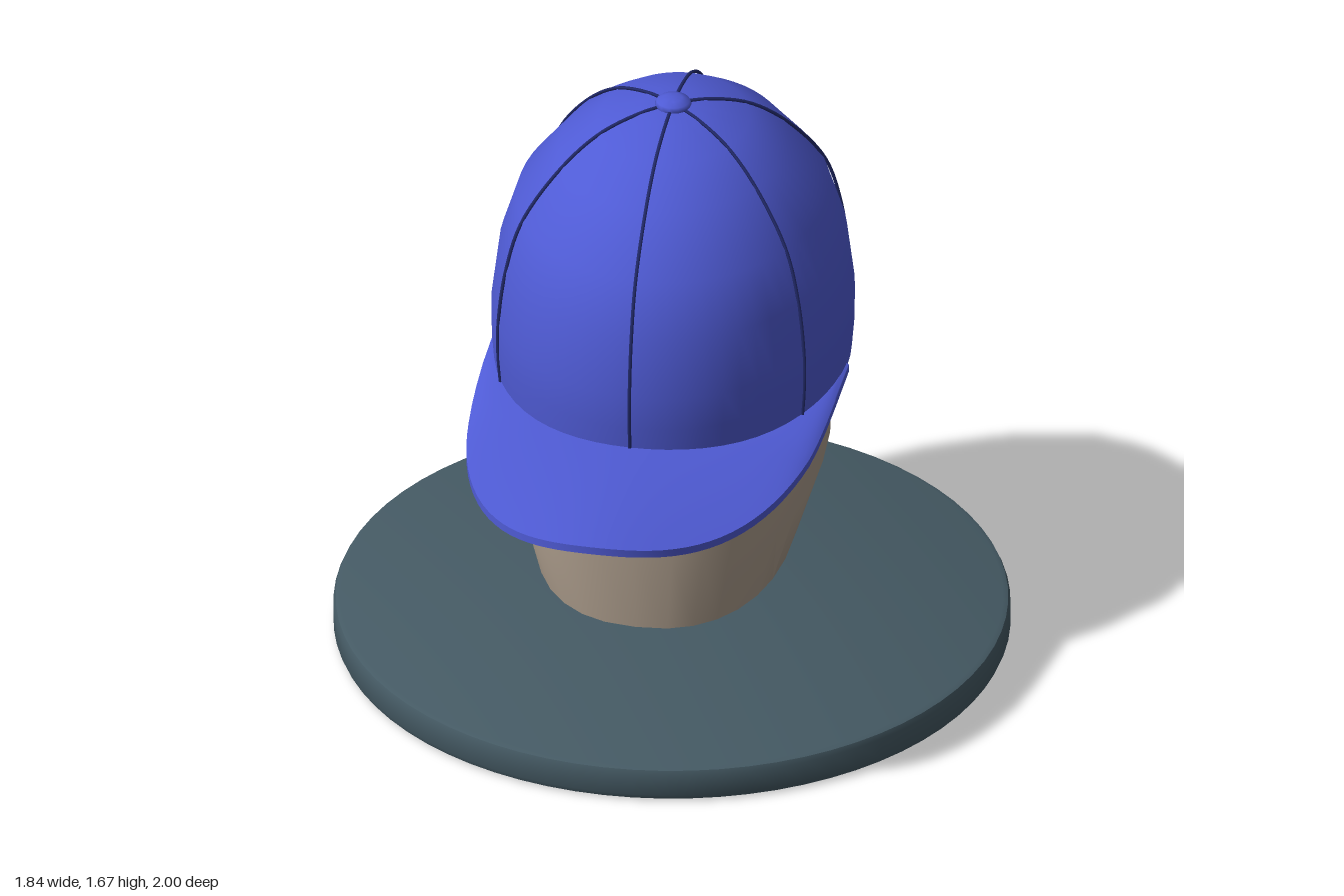
import * as THREE from 'three';
import { toCreasedNormals } from 'three/addons/utils/BufferGeometryUtils.js';

const mat = (name, color, side = THREE.FrontSide) => {
  const m = new THREE.MeshStandardMaterial({ color, side });
  m.name = name;
  return m;
};

// Surface through rows x cols points given by point(i, j) -> [x, y, z]
function gridSurface(rows, cols, point, crease) {
  const pos = [], idx = [];
  for (let i = 0; i <= rows; i++) for (let j = 0; j <= cols; j++) pos.push(...point(i, j));
  for (let i = 0; i < rows; i++) for (let j = 0; j < cols; j++) {
    const a = i * (cols + 1) + j, b = a + 1, c = a + cols + 1, d = c + 1;
    idx.push(a, b, c, b, d, c);
  }
  const g = new THREE.BufferGeometry();
  g.setAttribute('position', new THREE.Float32BufferAttribute(pos, 3));
  g.setIndex(idx);
  g.computeVertexNormals();
  return toCreasedNormals(g, crease);
}

const lathe = (pts, segments, crease) =>
  toCreasedNormals(new THREE.LatheGeometry(pts.map(p => new THREE.Vector2(...p)), segments), crease);

const CAP_Z = -0.09, CAP_DEPTH = 0.58 / 0.49;

// Crown profile from rim to top: radius, height
const CROWN = [
  [0.482, 0.875], [0.489, 0.96], [0.49, 1.06], [0.469, 1.23], [0.422, 1.38],
  [0.31, 1.525], [0.205, 1.605], [0.09, 1.643], [0, 1.652],
];

// Head rings: half width, front z, back z, front y, back y
const HEAD = [
  [0.13, 0.08, -0.23, 0.13, 0.13],
  [0.12, 0.07, -0.22, 0.195, 0.24],
  [0.24, 0.22, -0.37, 0.21, 0.335],
  [0.35, 0.41, -0.51, 0.285, 0.43],
  [0.42, 0.435, -0.58, 0.52, 0.64],
  [0.425, 0.43, -0.592, 0.87, 0.87],
  [0.425, 0.42, -0.595, 1.1, 1.1],
  [0.385, 0.35, -0.52, 1.3, 1.3],
  [0.25, 0.17, -0.34, 1.5, 1.5],
  [0, -0.09, -0.09, 1.57, 1.57],
];

function headGeometry() {
  const cols = 32;
  const soft = (v, e) => Math.sign(v) * Math.abs(v) ** e;
  return gridSurface(HEAD.length - 1, cols, (i, j) => {
    const [w, zf, zb, yf, yb] = HEAD[i];
    const a = (j / cols) * Math.PI * 2 + Math.PI;
    const e = i < 2 ? 1 : 0.85;
    const s = soft(Math.sin(a), e), c = soft(Math.cos(a), e);
    return [w * s, (yf + yb) / 2 + (yf - yb) / 2 * c, (zf + zb) / 2 + (zf - zb) / 2 * c];
  }, 0.7);
}

// Curved peak: a closed section swept around the front half of the crown
function brimGeometry() {
  const steps = 8, cols = 48, rows = steps * 2 + 2;
  return gridSurface(rows, cols, (i, j) => {
    const k = i % rows;
    const top = k <= steps;
    const s = top ? 1 - k / steps : (k - steps - 1) / steps;
    const a = (j / cols - 0.5) * Math.PI;
    const sin = Math.sin(a), cos = Math.max(0, Math.cos(a));
    const x = THREE.MathUtils.lerp(0.47 * sin, 0.49 * sin, s);
    const z = THREE.MathUtils.lerp(CAP_Z + 0.56 * cos, -0.08 + 1.08 * cos ** (2 / 3), s);
    const bend = THREE.MathUtils.smoothstep(Math.abs(x), 0, 0.43);
    const reach = THREE.MathUtils.clamp((z + 0.1) / 0.45, 0.2, 1);
    const y = 0.877 - 0.052 * bend * reach * (0.3 + 0.7 * s) - 0.01 * Math.max(0, z) ** 4;
    return [x, y + (top ? 0.022 : 0), z];
  }, 0.8);
}

// Stitched seam running from rim to top at a given angle
function seamGeometry(angle) {
  const pts = CROWN.map(([r, y]) => new THREE.Vector3(
    (r + 0.001) * Math.sin(angle), y + 0.001, (r + 0.001) * CAP_DEPTH * Math.cos(angle)));
  return new THREE.TubeGeometry(new THREE.CatmullRomCurve3(pts), 40, 0.005, 5);
}

export function createModel() {
  const model = new THREE.Group();
  model.name = 'capOnDisplayStand';
  const blue = mat('capBlue', 0x4f5bd5);
  const navy = mat('seamNavy', 0x222a6a);
  const beige = mat('headBeige', 0xb0a08f);
  const slate = mat('baseSlate', 0x455a64);
  const add = (name, geometry, material, z = 0, parent = model) => {
    const mesh = new THREE.Mesh(geometry, material);
    mesh.name = name;
    mesh.position.z = z;
    parent.add(mesh);
    return mesh;
  };

  // Round base with softened edges
  add('base', lathe([
    [0, 0], [0.9, 0], [0.914, 0.006], [0.92, 0.02], [0.92, 0.08],
    [0.914, 0.094], [0.9, 0.1], [0, 0.1],
  ], 72, 0.6), slate, -0.075);

  // Display head and the underside of its neck
  add('head', headGeometry(), beige);
  const neckEnd = new THREE.CircleGeometry(1, 32).rotateX(Math.PI / 2).scale(0.13, 1, 0.155);
  add('neckEnd', neckEnd, beige, -0.075).position.y = 0.13;

  // Cap crown: inner wall down to the rim, then the outer wall up
  const cap = new THREE.Group();
  cap.name = 'cap';
  model.add(cap);
  const inner = CROWN.map(([r, y], i) => [Math.max(0, r - 0.018), i ? y - 0.015 : y]).reverse();
  const crown = lathe([...inner, ...CROWN], 60, 0.9);
  crown.scale(1, 1, CAP_DEPTH);
  add('crown', crown, blue, CAP_Z, cap);

  // Six panel seams
  for (let i = 0; i < 6; i++) add('seam', seamGeometry(i * Math.PI / 3), navy, CAP_Z, cap);

  // Top button
  const button = lathe([[0, 0], [0.045, 0], [0.05, 0.01], [0.045, 0.02], [0.025, 0.028], [0, 0.03]], 24, 1);
  add('button', button, blue, CAP_Z, cap).position.y = 1.643;

  // Brim
  add('brim', brimGeometry(), blue, 0, cap);
  return model;
}
